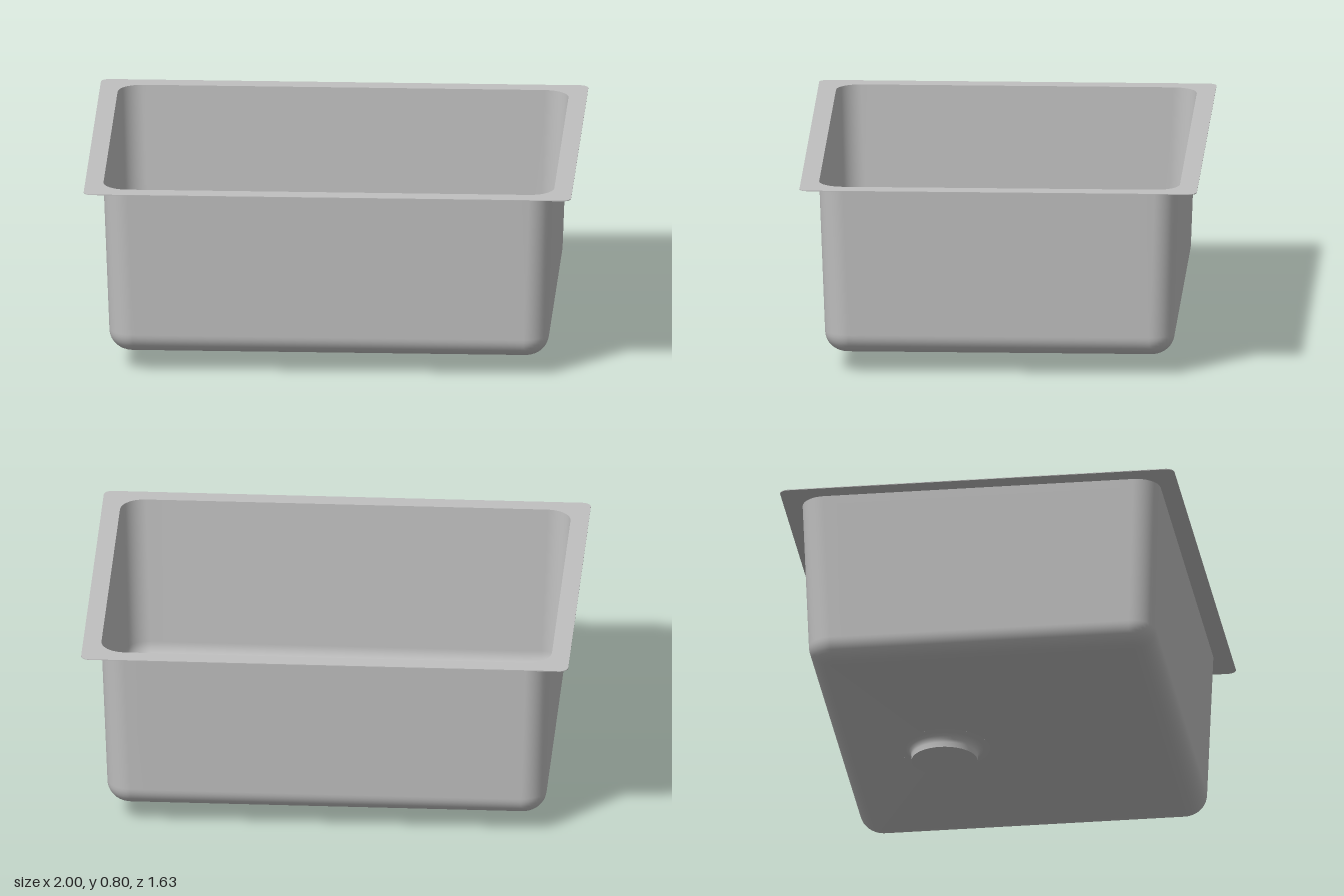
import * as THREE from 'three';

const TOP = 0.795, FLOOR = 0.08, DRAIN_Z = -0.262, DRAIN_R = 0.185, DRAIN_Y = 0.056;

// Rounded rectangle as [x, z] points; the same count for every size so rings can be lofted
function roundedRect(hx, hz, r, arcSteps = 10, edgeSteps = 24) {
  const pts = [];
  const corners = [[1, 1], [-1, 1], [-1, -1], [1, -1]];
  corners.forEach(([sx, sz], c) => {
    const cx = sx * (hx - r), cz = sz * (hz - r);
    for (let i = 0; i <= arcSteps; i++) {
      const a = (c + i / arcSteps) * Math.PI / 2;
      pts.push([cx + r * Math.cos(a), cz + r * Math.sin(a)]);
    }
    // intermediate points along the straight edge to the next corner
    const [nx, nz] = corners[(c + 1) % 4];
    const a = (c + 1) * Math.PI / 2;
    const from = pts[pts.length - 1];
    const to = [nx * (hx - r) + r * Math.cos(a), nz * (hz - r) + r * Math.sin(a)];
    for (let i = 1; i < edgeSteps; i++) {
      const t = i / edgeSteps;
      pts.push([from[0] + (to[0] - from[0]) * t, from[1] + (to[1] - from[1]) * t]);
    }
  });
  return pts;
}

// Surface through closed rings, listed from the top wall edge to the drain
function loft(rings) {
  const n = rings[0].length, index = [];
  for (let k = 0; k < rings.length - 1; k++) {
    for (let i = 0; i < n; i++) {
      const a = k * n + i, b = k * n + (i + 1) % n;
      index.push(a, a + n, b, b, a + n, b + n);
    }
  }
  const geo = new THREE.BufferGeometry();
  geo.setAttribute('position', new THREE.Float32BufferAttribute(rings.flat(2), 3));
  geo.setIndex(index);
  geo.computeVertexNormals();
  return geo;
}

function basinGeometry() {
  const ring = (hx, hz, r, y) => roundedRect(hx, hz, r).map(([x, z]) => [x, y, z]);
  const fillet = 0.085, hx = 0.902, hz = 0.717, r = 0.1;
  const rings = [ring(0.925, 0.74, r, TOP)];
  // rounded bend from wall to floor
  for (let i = 0; i <= 10; i++) {
    const a = i / 10 * Math.PI / 2, inset = fillet * (1 - Math.cos(a));
    rings.push(ring(hx - inset, hz - inset, r - inset, FLOOR + fillet * (1 - Math.sin(a))));
  }
  // floor falls straight to the circular drain opening
  rings.push(rings[rings.length - 1].map(([x, , z]) => {
    const a = Math.atan2(z - DRAIN_Z, x);
    return [DRAIN_R * Math.cos(a), DRAIN_Y, DRAIN_Z + DRAIN_R * Math.sin(a)];
  }));
  return loft(rings);
}

export function createModel() {
  const model = new THREE.Group();
  model.name = 'sink';
  const steel = new THREE.MeshStandardMaterial({ color: 0xc0c0c0, side: THREE.DoubleSide });
  steel.name = 'brushed steel';

  const add = (parent, name, geo, x = 0, y = 0, z = 0) => {
    const mesh = new THREE.Mesh(geo, steel);
    mesh.name = name;
    mesh.position.set(x, y, z);
    parent.add(mesh);
    return mesh;
  };

  // Flat mounting rim around the opening
  const outline = (...size) => roundedRect(...size).map(([x, z]) => new THREE.Vector2(x, z));
  const rimShape = new THREE.Shape(outline(1, 0.815, 0.035));
  rimShape.holes.push(new THREE.Path(outline(0.925, 0.74, 0.1)));
  const rim = new THREE.ExtrudeGeometry(rimShape, { depth: 0.003, bevelEnabled: false });
  rim.rotateX(-Math.PI / 2);
  add(model, 'rim', rim, 0, TOP - 0.003, 0);

  // Tapered bowl with sloping floor
  add(model, 'basin', basinGeometry());

  // Drain: flared throat, closed bottom, perforated strainer and centre knob
  const drain = new THREE.Group();
  drain.name = 'drain';
  drain.position.z = DRAIN_Z;
  model.add(drain);

  const throat = [[0.136, 0], [0.136, 0.022], [0.139, 0.034], [0.147, 0.045], [0.16, 0.053], [DRAIN_R, DRAIN_Y]]
    .map(([r, y]) => new THREE.Vector2(r, y));
  add(drain, 'drainThroat', new THREE.LatheGeometry(throat, 64));

  const bottom = new THREE.CircleGeometry(0.136, 64);
  bottom.rotateX(Math.PI / 2);
  add(drain, 'drainBottom', bottom);

  const plate = new THREE.Shape().absarc(0, 0, 0.135, 0, Math.PI * 2);
  for (const [count, radius] of [[18, 0.097], [12, 0.064]]) {
    for (let i = 0; i < count; i++) {
      const a = (i + 0.5) / count * Math.PI * 2;
      plate.holes.push(new THREE.Path().absarc(radius * Math.cos(a), radius * Math.sin(a), 0.01, 0, Math.PI * 2, true));
    }
  }
  const strainer = new THREE.ExtrudeGeometry(plate, { depth: 0.004, bevelEnabled: false, curveSegments: 24 });
  strainer.rotateX(-Math.PI / 2);
  add(drain, 'strainer', strainer, 0, 0.006, 0);
  add(drain, 'strainerKnob', new THREE.CylinderGeometry(0.025, 0.025, 0.008, 24), 0, 0.013, 0);

  return model;
}
